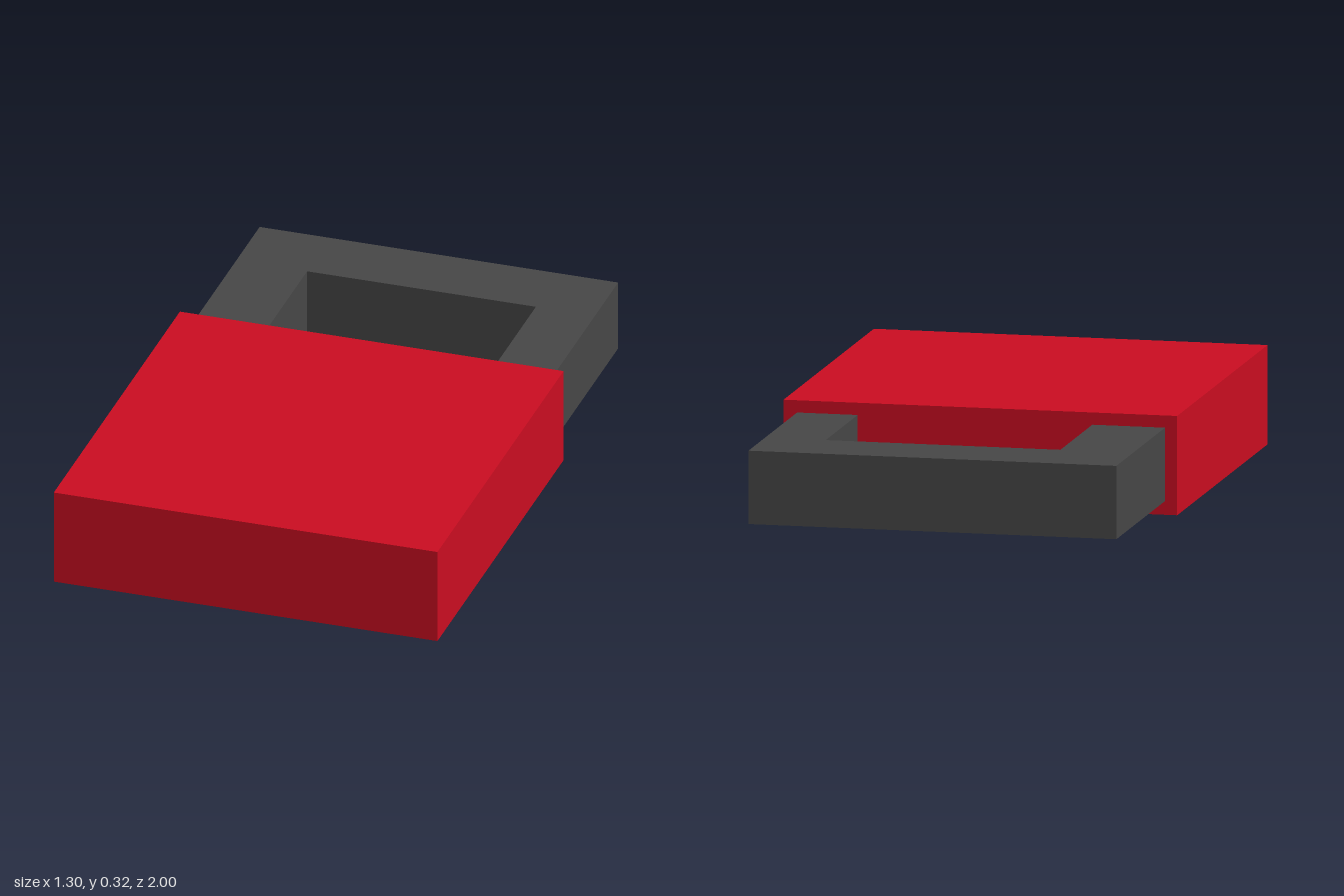
import * as THREE from 'three';

export function createModel() {
  const group = new THREE.Group();
  const red = new THREE.MeshStandardMaterial({ name: 'red', color: 0xcc0d21 });
  const darkGrey = new THREE.MeshStandardMaterial({ name: 'darkGrey', color: 0x474747 });

  // Padlock body, lying flat
  const body = new THREE.Mesh(new THREE.BoxGeometry(1.3, 0.325, 1.3), red);
  body.name = 'lockBody';
  body.position.set(0, 0.1625, 0.35);
  group.add(body);

  // Square shackle: a U outline (x, -z) extruded upward, with a slimmer left arm
  const outline = [
    [-0.61, 0.29], [-0.37, 0.29], [-0.37, 0.76], [0.405, 0.76],
    [0.405, 0.29], [0.605, 0.29], [0.605, 1], [-0.61, 1],
  ].map(([x, y]) => new THREE.Vector2(x, y));
  const shackleGeometry = new THREE.ExtrudeGeometry(new THREE.Shape(outline), {
    depth: 0.24, bevelEnabled: false,
  });
  shackleGeometry.rotateX(-Math.PI / 2);
  const shackle = new THREE.Mesh(shackleGeometry, darkGrey);
  shackle.name = 'shackle';
  shackle.position.y = 0.045;
  group.add(shackle);

  return group;
}
